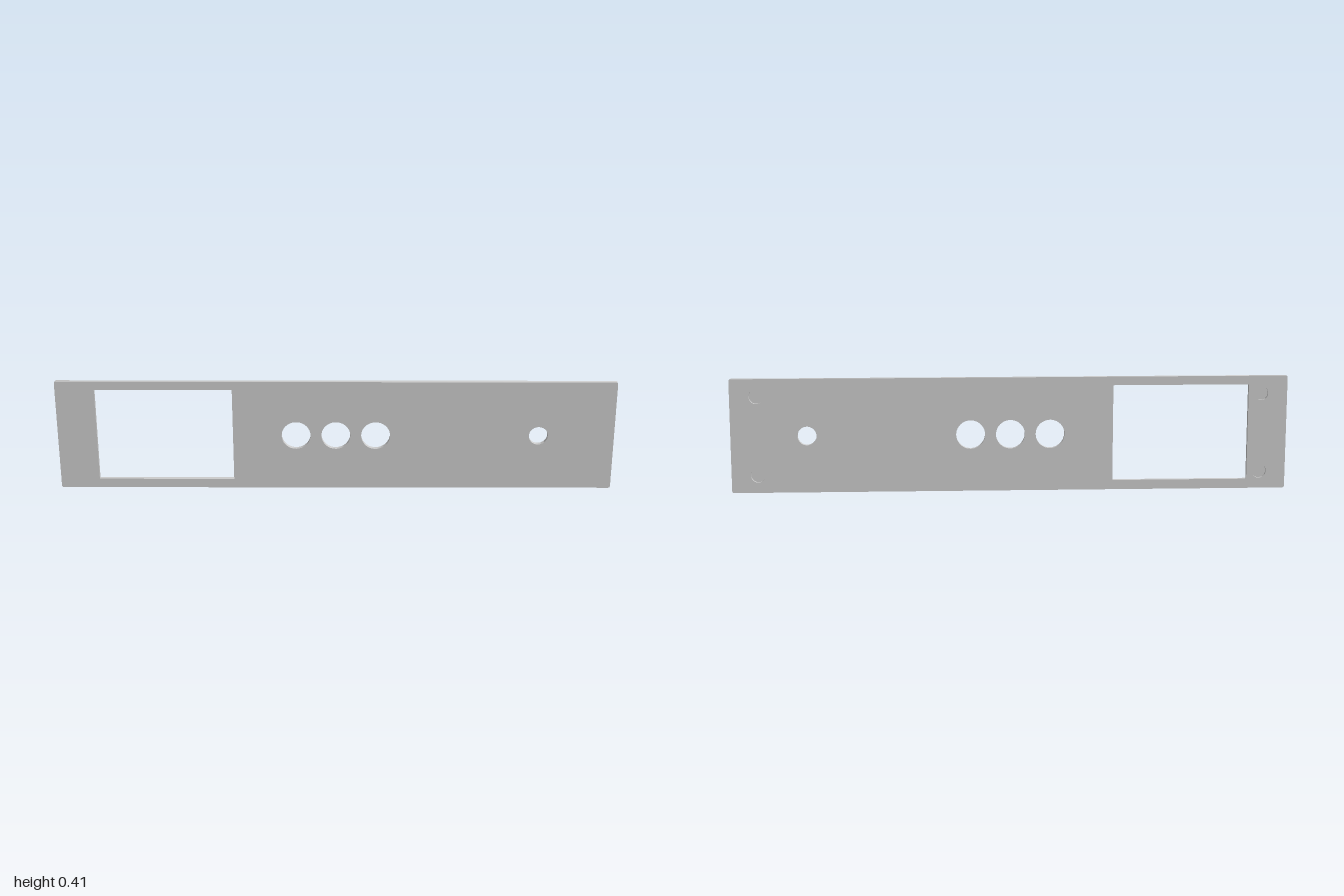
import * as THREE from 'three';
import { toCreasedNormals } from 'three/addons/utils/BufferGeometryUtils.js';

const H = 0.413, T = 0.016, POCKET = 0.01, R = 0.007;
const MID = H / 2;

// Through holes: [x, radius]
const portHoles = [[-0.143, 0.052], [0, 0.052], [0.143, 0.052], [0.728, 0.034]];

function circle(x, y, r) {
  return new THREE.Path().absarc(x, y, r, 0, Math.PI * 2, true);
}

// Panel outline with tiny corner rounding, window and through holes
function panelShape() {
  const s = new THREE.Shape();
  s.absarc(1 - R, R, R, -Math.PI / 2, 0);
  s.absarc(1 - R, H - R, R, 0, Math.PI / 2);
  s.absarc(-1 + R, H - R, R, Math.PI / 2, Math.PI);
  s.absarc(-1 + R, R, R, Math.PI, Math.PI * 1.5);
  s.closePath();

  const [x0, x1, y0, y1] = [-0.86, -0.37, 0.034, 0.382];
  const win = new THREE.Path();
  win.moveTo(x0, y0).lineTo(x0, y1).lineTo(x1, y1).lineTo(x1, y0).closePath();
  s.holes.push(win);
  for (const [x, r] of portHoles) s.holes.push(circle(x, MID, r));
  return s;
}

function layer(name, shape, z, depth, material) {
  const geo = new THREE.ExtrudeGeometry(shape, { depth, bevelEnabled: false, curveSegments: 24 });
  const mesh = new THREE.Mesh(toCreasedNormals(geo, 0.6), material);
  mesh.position.z = z;
  mesh.name = name;
  return mesh;
}

export function createModel() {
  const group = new THREE.Group();
  group.name = 'facePanel';
  const material = new THREE.MeshStandardMaterial({ color: 0xcccccc });

  // Front skin closes the blind pockets
  group.add(layer('frontSkin', panelShape(), -T / 2 + POCKET, T - POCKET, material));

  // Rear layer carries four round pockets near the corners
  const rear = panelShape();
  for (const sx of [-1, 1])
    for (const sy of [-1, 1]) rear.holes.push(circle(sx * 0.905, MID + sy * 0.143, 0.026));
  group.add(layer('rearLayerWithPockets', rear, -T / 2, POCKET, material));

  return group;
}
